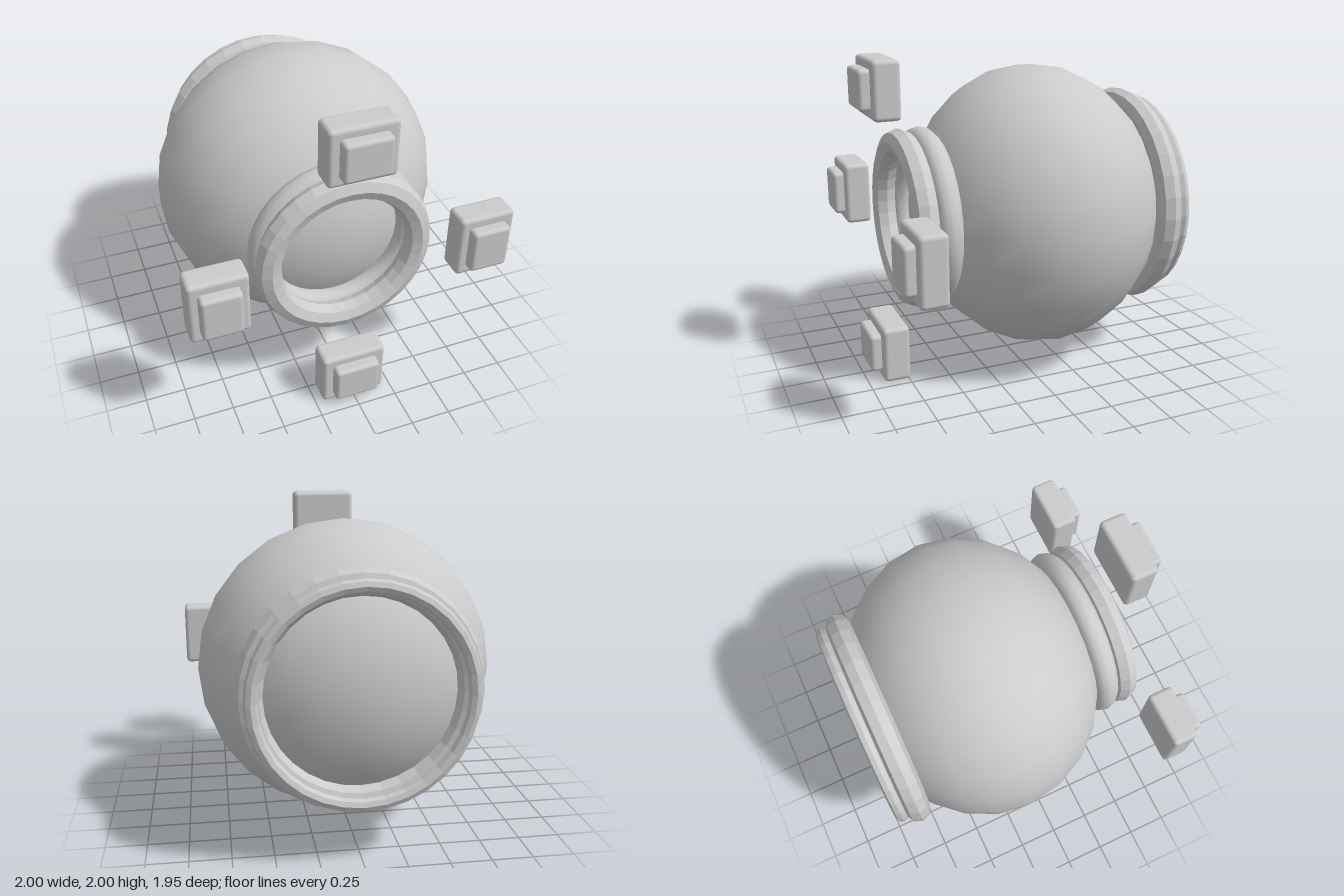
import * as THREE from 'three';
import { RoundedBoxGeometry } from 'three/addons/geometries/RoundedBoxGeometry.js';

export function createModel() {
  const model = new THREE.Group();
  const grey = new THREE.MeshStandardMaterial({ color: 0xcccccc });
  grey.name = 'grey';
  const facetedGrey = grey.clone();
  facetedGrey.flatShading = true;
  facetedGrey.name = 'grey faceted';

  const add = (parent, name, geometry, material, x, y, z) => {
    const mesh = new THREE.Mesh(geometry, material);
    mesh.name = name;
    mesh.position.set(x, y, z);
    parent.add(mesh);
    return mesh;
  };

  // Body: slightly flattened globe with its poles facing front and back
  const globe = new THREE.SphereGeometry(0.908, 24, 12).rotateX(Math.PI / 2).scale(1, 1, 0.87);
  add(model, 'body', globe, grey, 0, 1, -0.17);

  // Collars: [name, ring radius, tube radius, tube sides, z, material]
  const rings = [
    ['frontInnerCollar', 0.48, 0.078, 12, 0.555, grey],
    ['frontRim', 0.475, 0.08, 8, 0.69, facetedGrey],
    ['backCollar', 0.635, 0.08, 8, -0.827, facetedGrey],
    ['backRim', 0.63, 0.04, 8, -0.933, facetedGrey],
  ];
  for (const [name, radius, tube, sides, z, material] of rings) {
    add(model, name, new THREE.TorusGeometry(radius, tube, sides, 32), material, 0, 1, z);
  }

  // Four floating stepped blocks around the front opening
  const names = ['topBlock', 'leftBlock', 'bottomBlock', 'rightBlock'];
  names.forEach((name, i) => {
    const block = new THREE.Group();
    block.name = name;
    block.position.set(0, 1, 0);
    block.rotation.z = -i * Math.PI / 2;
    add(block, 'base', new RoundedBoxGeometry(0.41, 0.355, 0.168, 2, 0.028), grey, 0, 0.8225, 0.823);
    add(block, 'button', new RoundedBoxGeometry(0.285, 0.242, 0.14, 2, 0.025), grey, 0, 0.8225, 0.905);
    model.add(block);
  });

  return model;
}
